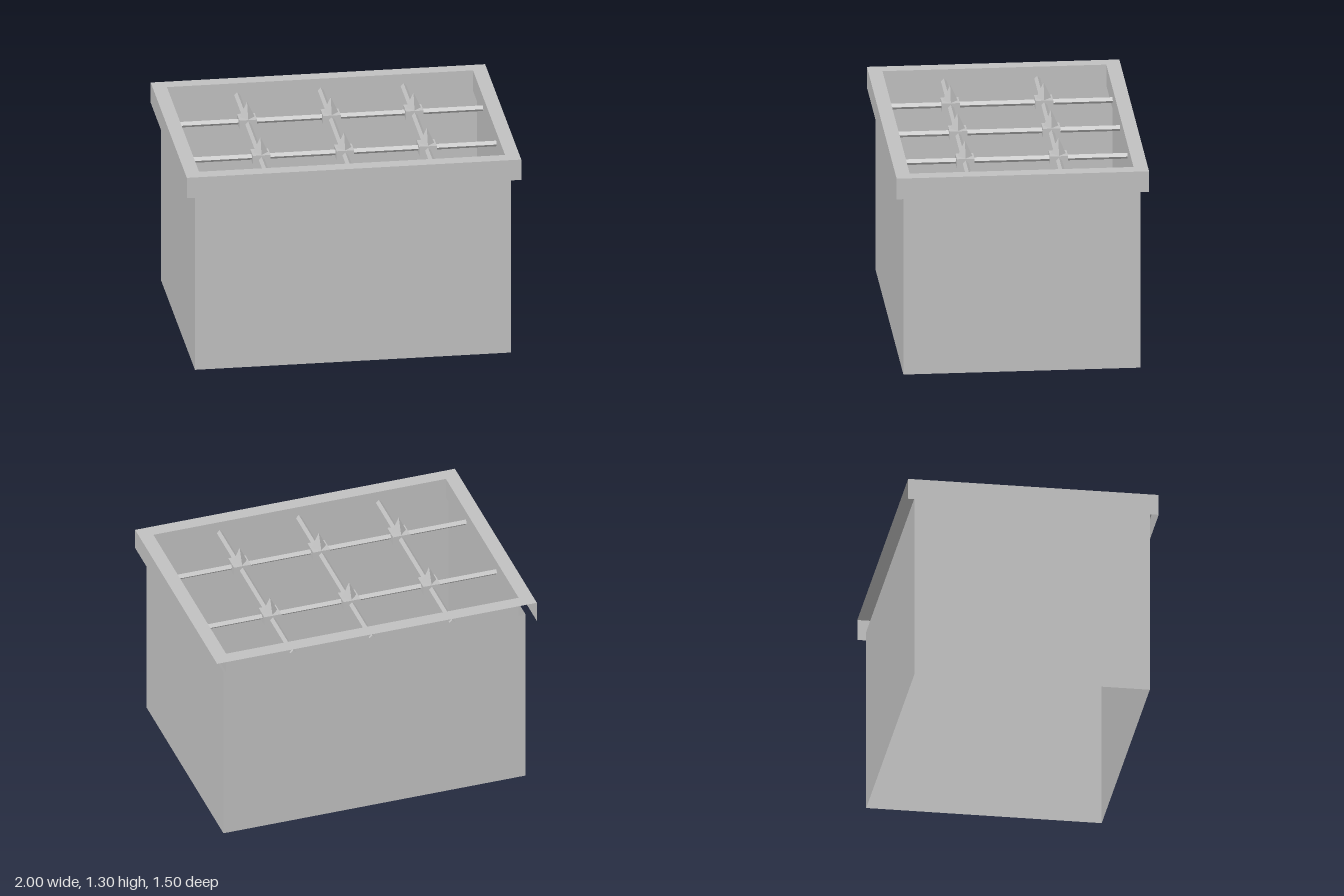
import * as THREE from 'three';

export function createModel() {
  const model = new THREE.Group();
  const grey = new THREE.MeshStandardMaterial({ color: 0xc0c0c0, side: THREE.DoubleSide });
  grey.name = 'plainGrey';
  grey.flatShading = true;

  function add(name, geometry, x = 0, y = 0, z = 0) {
    const mesh = new THREE.Mesh(geometry, grey);
    mesh.name = name;
    mesh.position.set(x, y, z);
    model.add(mesh);
    return mesh;
  }

  // Upright sheets around a rectangle of half sizes hx, hz
  function sheets(name, hx, hz, y0, y1, withBack = true) {
    const h = y1 - y0, y = (y0 + y1) / 2;
    add(name + 'Front', new THREE.PlaneGeometry(2 * hx, h), 0, y, hz);
    if (withBack) add(name + 'Back', new THREE.PlaneGeometry(2 * hx, h), 0, y, -hz).rotation.y = Math.PI;
    for (const s of [-1, 1]) {
      add(name + (s > 0 ? 'Left' : 'Right'), new THREE.PlaneGeometry(2 * hz, h), s * hx, y, 0).rotation.y = s * Math.PI / 2;
    }
  }

  // Open-bottomed box, rim lining, and rim skirt that is open at the back
  sheets('wall', 0.945, 0.705, 0, 1.15);
  sheets('rimLining', 0.915, 0.665, 1.12, 1.25);
  sheets('rimSkirt', 1, 0.75, 1.12, 1.25, false);

  // Flat top of the rim
  const rectangle = (Type, hx, hz) => new Type([
    new THREE.Vector2(-hx, -hz), new THREE.Vector2(hx, -hz),
    new THREE.Vector2(hx, hz), new THREE.Vector2(-hx, hz),
  ]);
  const rim = rectangle(THREE.Shape, 1, 0.75);
  rim.holes.push(rectangle(THREE.Path, 0.915, 0.665));
  add('rimTop', new THREE.ShapeGeometry(rim).rotateX(-Math.PI / 2), 0, 1.25, 0);

  // Grille of diamond-section bars, just piercing the lining
  const barXs = [-0.495, 0.005, 0.5], barZs = [-0.255, 0.3], barY = 1.175;
  for (const x of barXs) {
    add('lengthBar', new THREE.CylinderGeometry(0.018, 0.018, 1.36, 4).rotateX(Math.PI / 2), x, barY, 0);
  }
  for (const z of barZs) {
    add('crossBar', new THREE.CylinderGeometry(0.018, 0.018, 1.86, 4).rotateZ(Math.PI / 2), 0, barY, z);
  }

  // Block and four-sided spike at every crossing
  for (const x of barXs) for (const z of barZs) {
    add('crossingBlock', new THREE.BoxGeometry(0.106, 0.055, 0.106), x, barY, z);
    add('spike', new THREE.ConeGeometry(0.046, 0.1, 4), x, 1.25, z);
  }
  return model;
}
